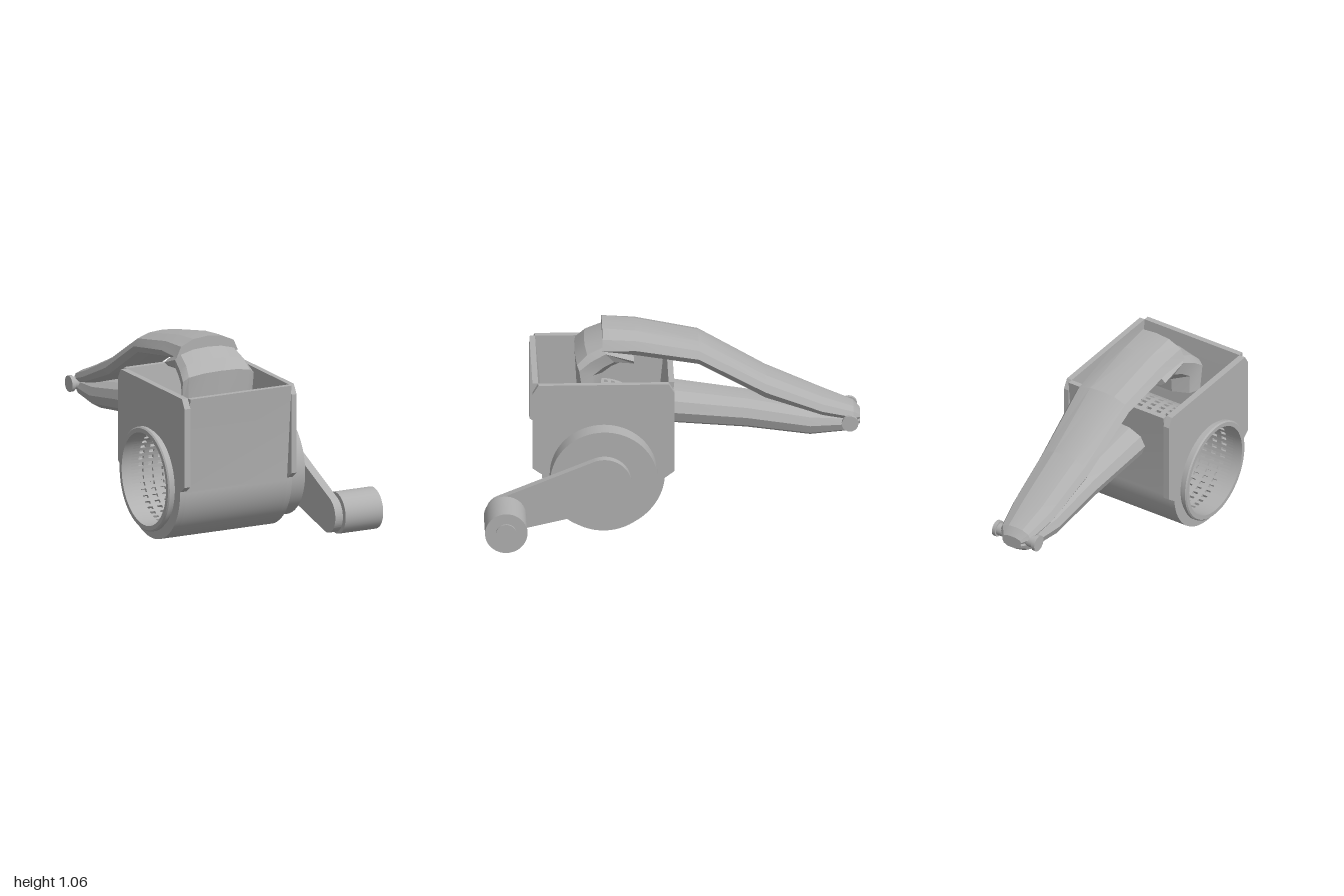
import * as THREE from 'three';
import { toCreasedNormals } from 'three/addons/utils/BufferGeometryUtils.js';

const CZ = 0.365, CY = 0.325;  // drum axis
const HX = -0.175;             // centre line of the handles

export function createModel() {
  const model = new THREE.Group();
  model.name = 'rotaryGrater';
  const grey = new THREE.MeshStandardMaterial({ color: 0xb0b0b0 });
  grey.name = 'grey';

  const add = (name, geometry) => {
    const mesh = new THREE.Mesh(geometry, grey);
    mesh.name = name;
    model.add(mesh);
    return mesh;
  };

  // Side profile drawn in (z, y), extruded between two x positions
  const slab = (name, shape, x0, x1) => {
    const g = new THREE.ExtrudeGeometry(shape, { depth: x1 - x0, bevelEnabled: false, curveSegments: 40 });
    g.rotateY(-Math.PI / 2).translate(x1, 0, 0);
    add(name, toCreasedNormals(g, 0.5));
  };

  // Cylinder lying along x
  const rod = (name, r, x0, x1, y, z, sides = 40) => {
    const g = new THREE.CylinderGeometry(r, r, x1 - x0, sides);
    g.rotateZ(Math.PI / 2).translate((x0 + x1) / 2, y, z);
    add(name, g);
  };

  // Flat-shaded geometry from a list of corner points
  const faceted = (points) => {
    const g = new THREE.BufferGeometry().setFromPoints(points);
    g.computeVertexNormals();
    return g;
  };

  // Hopper walls running into the round trough
  const walls = new THREE.Shape();
  walls.moveTo(-0.01, 0.84);
  walls.lineTo(0.04, CY);
  walls.absarc(CZ, CY, 0.325, Math.PI, 2 * Math.PI, false);
  walls.lineTo(0.74, 0.84);
  walls.lineTo(0.71, 0.84);
  walls.lineTo(0.66, CY);
  walls.absarc(CZ, CY, 0.295, 2 * Math.PI, Math.PI, true);
  walls.lineTo(0.02, 0.84);
  slab('hopperWalls', walls, -0.475, 0.13);

  // Side plates with clipped corners and an opening for the drum
  const plate = new THREE.Shape();
  plate.moveTo(0.74, 0.36);
  plate.lineTo(0.74, 0.79);
  plate.lineTo(0.71, 0.84);
  plate.lineTo(0.02, 0.84);
  plate.lineTo(-0.01, 0.79);
  plate.lineTo(-0.01, 0.335);
  plate.lineTo(0.043, 0.295);
  plate.absarc(CZ, CY, 0.325, Math.PI + 0.09, 2 * Math.PI, false);
  plate.lineTo(0.70, 0.33);
  plate.holes.push(new THREE.Path().absarc(CZ, CY, 0.262, 0, 2 * Math.PI, true));
  slab('rightSidePlate', plate, -0.51, -0.475);
  slab('leftSidePlate', plate, 0.13, 0.16);

  // Perforated drum: a grid of cells where every odd/odd cell is a hole
  const pt = (r, x, a) => new THREE.Vector3(x, CY + r * Math.sin(a), CZ + r * Math.cos(a));
  const tris = [];
  const quad = (a, b, c, d) => tris.push(a, b, c, a, c, d);
  const ri = 0.25, ro = 0.265, around = 44;
  const xs = [-0.515];
  for (let i = 0; i < 10; i++) xs.push(-0.455 + i * 0.058, -0.425 + i * 0.058);
  xs.push(0.16);
  for (let i = 0; i < xs.length - 1; i++) {
    for (let j = 0; j < around * 2; j++) {
      const x0 = xs[i], x1 = xs[i + 1];
      const a0 = (j * Math.PI) / around, a1 = ((j + 1) * Math.PI) / around;
      if (i % 2 && j % 2) {
        quad(pt(ri, x0, a0), pt(ro, x0, a0), pt(ro, x1, a0), pt(ri, x1, a0));
        quad(pt(ri, x1, a1), pt(ro, x1, a1), pt(ro, x0, a1), pt(ri, x0, a1));
        quad(pt(ri, x0, a0), pt(ri, x0, a1), pt(ro, x0, a1), pt(ro, x0, a0));
        quad(pt(ro, x1, a0), pt(ro, x1, a1), pt(ri, x1, a1), pt(ri, x1, a0));
      } else {
        quad(pt(ro, x0, a0), pt(ro, x1, a0), pt(ro, x1, a1), pt(ro, x0, a1));
        quad(pt(ri, x0, a1), pt(ri, x1, a1), pt(ri, x1, a0), pt(ri, x0, a0));
      }
    }
  }
  add('gratingDrum', faceted(tris));

  // Open rim of the drum
  const rimProfile = [
    [0.25, 0.5], [0.265, 0.5], [0.265, 0.525], [0.28, 0.53],
    [0.28, 0.548], [0.273, 0.555], [0.25, 0.555], [0.25, 0.5],
  ].map(([r, h]) => new THREE.Vector2(r, h));
  const rim = new THREE.LatheGeometry(rimProfile, 64);
  rim.rotateZ(Math.PI / 2).translate(0, CY, CZ);
  add('drumRim', toCreasedNormals(rim, 0.5));

  // Drum end disc, crank arm and knob
  rod('drumEndDisc', 0.285, 0.155, 0.26, CY, CZ, 64);
  const KZ = 0.89, KY = 0.157, r1 = 0.145, r2 = 0.1;
  const dir = Math.atan2(KY - CY, KZ - CZ);
  const tan = Math.acos((r1 - r2) / Math.hypot(KZ - CZ, KY - CY));
  const arm = new THREE.Shape();
  arm.absarc(CZ, CY, r1, dir + tan, dir - tan + 2 * Math.PI, false);
  arm.absarc(KZ, KY, r2, dir - tan, dir + tan, false);
  slab('crankArm', arm, 0.26, 0.305);
  rod('knobAxle', 0.035, 0.3, 0.32, KY, KZ);
  rod('knob', 0.1125, 0.315, 0.54, KY, KZ);
  rod('knobCap', 0.055, 0.535, 0.55, KY, KZ);

  // Rounded bar through rings [top z,y, edge z,y, underside z,y, half width], front to back
  const upper = [[-1, 0], [-0.86, 0.58], [-0.45, 0.92], [0, 1], [0.45, 0.92], [0.86, 0.58], [1, 0]];
  const lower = [[0.86, 0.58], [0.45, 0.95], [-0.45, 0.95], [-0.86, 0.58]];
  const bar = (name, rings) => {
    const loops = rings.map(([tz, ty, ez, ey, uz, uy, w]) => {
      const mix = (z, y) => ([u, v]) =>
        new THREE.Vector3(HX + u * w, ey + (y - ey) * v, ez + (z - ez) * v);
      return [...upper.map(mix(tz, ty)), ...lower.map(mix(uz, uy))];
    });
    const out = [], n = loops[0].length, last = loops.length - 1;
    const centre = (l) => l.reduce((s, p) => s.add(p), new THREE.Vector3()).divideScalar(n);
    const c0 = centre(loops[0]), c1 = centre(loops[last]);
    for (let j = 0; j < n; j++) {
      const k = (j + 1) % n;
      for (let i = 0; i < last; i++) {
        const a = loops[i], b = loops[i + 1];
        out.push(a[j], a[k], b[k], a[j], b[k], b[j]);
      }
      out.push(c0, loops[0][k], loops[0][j], c1, loops[last][j], loops[last][k]);
    }
    add(name, toCreasedNormals(faceted(out), 0.25));
  };
  const upright = ([z, top, edge, under, w]) => [z, top, z, edge, z, under, w];

  // Pressing handle
  bar('upperHandle', [
    [0.365, 1.063, 0.965, 1.0, 0.183], [0.19, 1.045, 0.965, 0.905, 0.181],
    [-0.145, 0.975, 0.905, 0.845, 0.17], [-0.5, 0.77, 0.7, 0.635, 0.152],
    [-0.8, 0.635, 0.575, 0.53, 0.13], [-0.965, 0.57, 0.525, 0.49, 0.095],
    [-1, 0.53, 0.51, 0.485, 0.06],
  ].map(upright));

  // Fixed handle
  bar('lowerHandle', [
    [0.03, 0.7, 0.6, 0.5, 0.168], [-0.4, 0.635, 0.55, 0.46, 0.142],
    [-0.735, 0.565, 0.49, 0.41, 0.125], [-0.945, 0.53, 0.485, 0.425, 0.095],
    [-1, 0.515, 0.49, 0.46, 0.06],
  ].map(upright));

  // Press pad bending down into the hopper
  bar('pressPad', [
    [0.5, 0.72, 0.47, 0.72, 0.37, 0.72, 0.21],
    [0.51, 0.905, 0.49, 0.865, 0.36, 0.8, 0.212],
    [0.46, 0.962, 0.43, 0.91, 0.31, 0.835, 0.198],
    [0.365, 1.003, 0.35, 0.95, 0.27, 0.85, 0.185],
    [0.2, 0.93, 0.2, 0.9, 0.2, 0.86, 0.17],
  ]);

  // Hinge pin joining the handles
  rod('hingePin', 0.034, -0.3, -0.05, 0.505, -0.945, 20);
  rod('hingePinRightHead', 0.044, -0.31, -0.29, 0.505, -0.945, 20);
  rod('hingePinLeftHead', 0.044, -0.06, -0.04, 0.505, -0.945, 20);

  return model;
}
